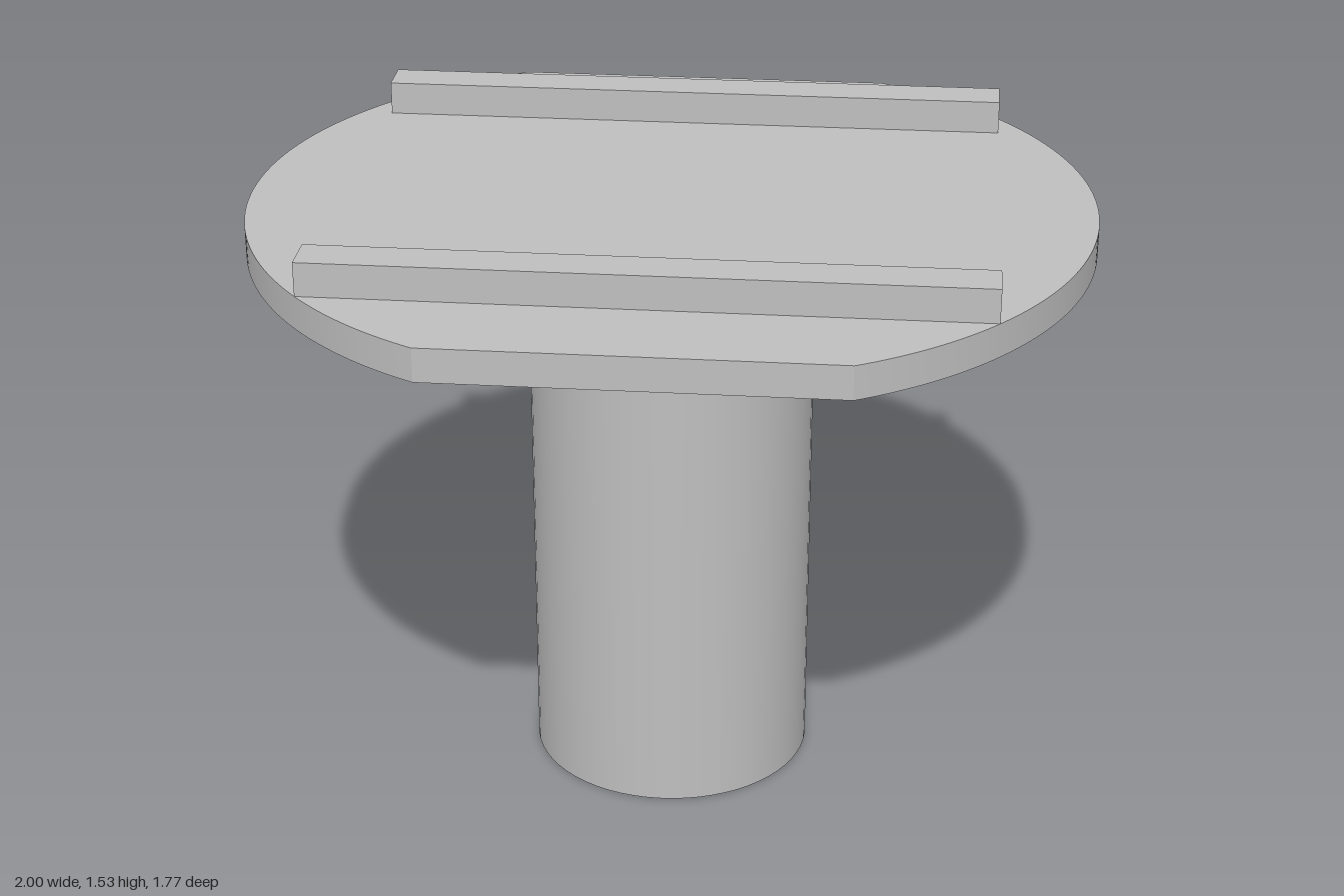
import * as THREE from 'three';
import { toCreasedNormals } from 'three/addons/utils/BufferGeometryUtils.js';

export function createModel() {
  const group = new THREE.Group();
  const grey = new THREE.MeshStandardMaterial({ color: 0xbfbfbf });
  grey.name = 'grey';

  const add = (name, geometry, x = 0, y = 0, z = 0) => {
    const mesh = new THREE.Mesh(geometry, grey);
    mesh.name = name;
    mesh.position.set(x, y, z);
    group.add(mesh);
  };

  const plateBottom = 1.37, plateTop = 1.45, railTop = 1.53;

  // Round column
  add('column', new THREE.CylinderGeometry(0.343, 0.343, plateBottom, 64), 0, plateBottom / 2, 0);

  // Disc with a flat cut along its front and back
  const cut = Math.asin(0.885);
  const outline = new THREE.Shape();
  outline.absarc(0, 0, 1, -cut, cut, false);
  outline.absarc(0, 0, 1, Math.PI - cut, Math.PI + cut, false);
  outline.closePath();
  const plate = new THREE.ExtrudeGeometry(outline, {
    depth: plateTop - plateBottom, bevelEnabled: false, curveSegments: 40,
  });
  plate.rotateX(-Math.PI / 2);
  add('plate', toCreasedNormals(plate, 0.3), 0, plateBottom, 0);

  // Two parallel rails on the plate
  for (const side of [1, -1]) {
    const rail = new THREE.BoxGeometry(1.535, railTop - plateTop, 0.105);
    add(side > 0 ? 'frontRail' : 'backRail', rail, 0, (railTop + plateTop) / 2, side * 0.589);
  }

  return group;
}
